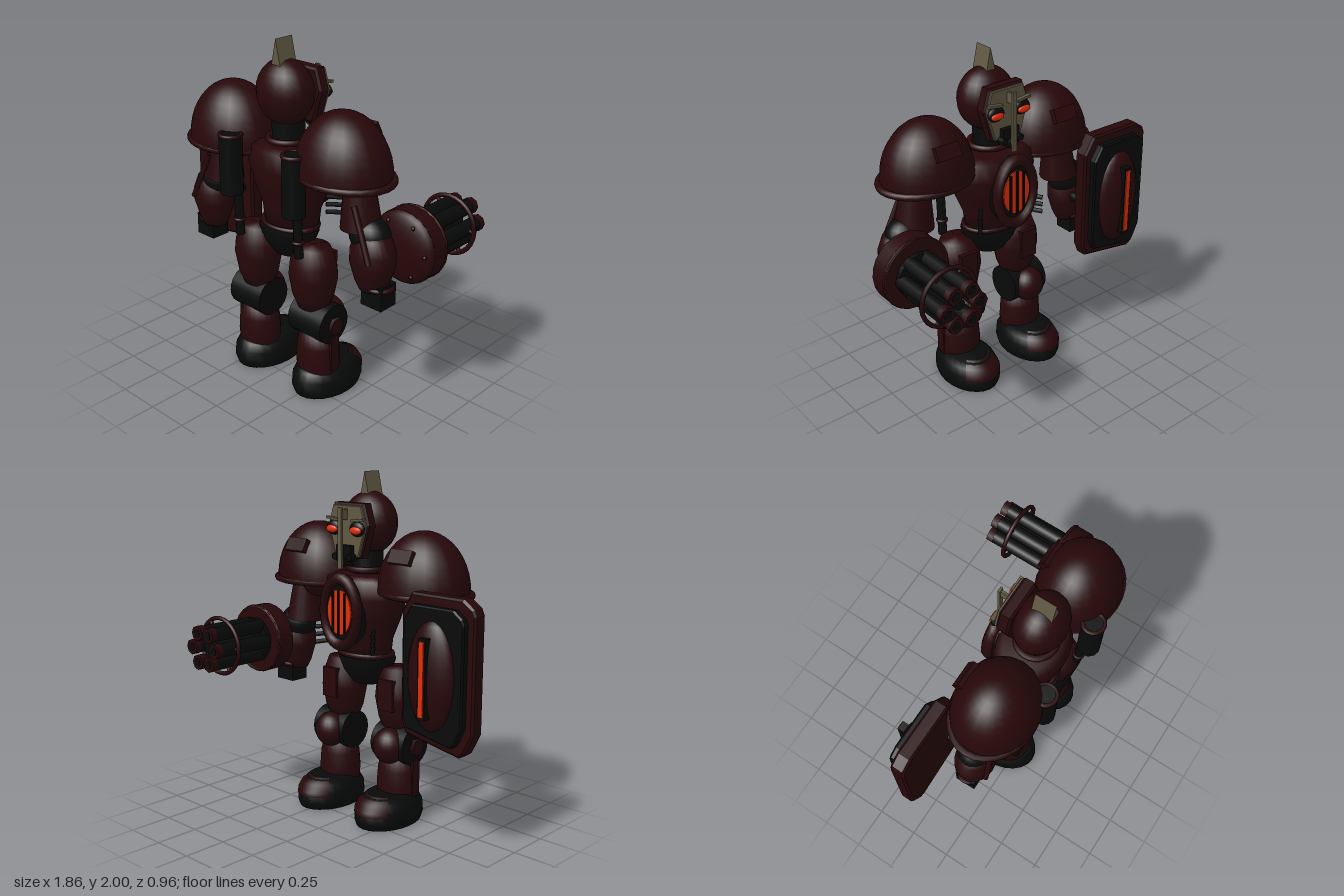
import * as THREE from 'three';

const paint = (name, color) => {
  const m = new THREE.MeshStandardMaterial({ color, side: THREE.DoubleSide });
  m.name = name;
  return m;
};

export function createModel() {
  const red = paint('dark red armour', 0x270709);
  const black = paint('black metal', 0x080909);
  const bone = paint('bone', 0x605842);
  const glow = paint('orange glow', 0xdc2e08);
  const root = new THREE.Group();
  root.name = 'armouredRobot';
  root.position.x = 0.04;

  const add = (name, geo, mat, pos, scale = [1, 1, 1], rot = [0, 0, 0]) => {
    const m = new THREE.Mesh(geo, mat);
    m.name = name;
    m.position.set(...pos);
    m.scale.set(...scale);
    m.rotation.set(...rot);
    root.add(m);
    return m;
  };
  const box = (name, size, mat, pos, rot) =>
    add(name, new THREE.BoxGeometry(...size), mat, pos, undefined, rot);
  const ball = (name, radii, mat, pos) =>
    add(name, new THREE.SphereGeometry(1, 20, 14), mat, pos, radii);
  const cyl = (name, r, len, mat, pos, rot, r2 = r, sides = 20) =>
    add(name, new THREE.CylinderGeometry(r2, r, len, sides), mat, pos, undefined, rot);
  const lathe = (name, pts, mat, [x, z], sx = 1, sz = 1, from = 0, arc = Math.PI * 2) =>
    add(name, new THREE.LatheGeometry(pts.map(p => new THREE.Vector2(...p)), 24, from, arc), mat, [x, 0, z], [sx, 1, sz]);
  const ring = (name, R, t, mat, pos, scale, rot) =>
    add(name, new THREE.TorusGeometry(R, t, 8, 28), mat, pos, scale, rot);
  const rod = (name, a, b, r, mat) =>
    add(name, new THREE.TubeGeometry(new THREE.LineCurve3(new THREE.Vector3(...a), new THREE.Vector3(...b)), 1, r, 10), mat, [0, 0, 0]);
  const plate = (name, pts, depth, bevel, mat, pos, scale) =>
    add(name, new THREE.ExtrudeGeometry(new THREE.Shape(pts.map(p => new THREE.Vector2(...p))), {
      depth, bevelEnabled: bevel > 0, bevelSize: bevel, bevelThickness: bevel, bevelOffset: -bevel, bevelSegments: 1,
    }), mat, pos, scale);
  const flat = [Math.PI / 2, 0, 0];

  // Torso, waist and neck
  lathe('torso', [[0, 0.94], [0.17, 0.94], [0.185, 1.06], [0.235, 1.18], [0.27, 1.3], [0.25, 1.4], [0.2, 1.425], [0, 1.43]], red, [0, 0.18], 1, 0.72);
  lathe('pelvis', [[0, 0.78], [0.09, 0.78], [0.15, 0.85], [0.185, 0.93], [0.17, 0.96], [0, 0.96]], black, [0, 0.2], 1, 0.8);
  ring('waistBelt', 0.17, 0.016, red, [0, 0.96, 0.19], [1, 0.78, 1], flat);
  cyl('neck', 0.09, 0.16, black, [0, 1.48, 0.2]);
  ring('collar', 0.11, 0.018, red, [0, 1.452, 0.2], undefined, flat);

  // Oval chest reactor with grille bars
  cyl('reactorHousing', 0.2, 0.09, black, [-0.005, 1.225, 0.01], flat).scale.x = 0.66;
  ring('reactorRing', 0.19, 0.036, red, [-0.005, 1.225, -0.03], [0.66, 1, 1]);
  cyl('reactorGlow', 0.13, 0.008, glow, [-0.005, 1.225, -0.04], flat).scale.x = 0.7;
  for (const x of [-0.045, 0, 0.045])
    box('reactorBar', [0.013, 2 * Math.sqrt(0.13 ** 2 - (x / 0.7) ** 2), 0.012], black, [x - 0.005, 1.225, -0.046]);

  // Head, crest and mask
  ball('helmet', [0.172, 0.18, 0.14], red, [0, 1.71, 0.22]);
  plate('crest', [[-0.034, 0], [0.034, 0], [0, 0.15]], 0.12, 0, bone, [0, 1.85, 0.17]);
  const maskShape = [[-0.11, 0.165], [0.11, 0.165], [0.145, 0.05], [0.09, -0.13], [-0.09, -0.13], [-0.145, 0.05]];
  plate('helmetFrame', maskShape, 0.05, 0.012, red, [0, 1.66, 0.05], [1.04, 1.04, 1]);
  plate('mask', maskShape, 0.02, 0.005, bone, [0, 1.66, 0.03], [0.97, 0.97, 1]);
  box('noseBlade', [0.03, 0.34, 0.014], bone, [0, 1.64, -0.027]);
  box('noseBridge', [0.014, 0.06, 0.05], bone, [0, 1.77, 0]);
  box('mouthGrille', [0.11, 0.09, 0.035], black, [0, 1.555, 0.012]);
  cyl('mouthFilter', 0.03, 0.06, black, [0, 1.51, 0.01], flat);
  for (const s of [1, -1]) {
    ball('eyeSocket', [0.054, 0.042, 0.024], black, [s * 0.088, 1.693, 0.018]);
    ball('eye', [0.042, 0.022, 0.016], glow, [s * 0.09, 1.686, 0]);
    box('brow', [0.09, 0.014, 0.024], bone, [s * 0.095, 1.742, 0.014], [0, 0, s * 0.12]);
    cyl('mouthPipe', 0.02, 0.06, black, [s * 0.055, 1.535, 0.012], flat);
  }

  for (const s of [1, -1]) {
    // Chest vents and exhausts on the back
    for (let i = 0; i < 3; i++)
      rod('chestVent', [s * 0.16, 1.115 - i * 0.045, 0.075], [s * 0.225, 1.105 - i * 0.045, -0.005], 0.013, black);
    cyl('exhaust', 0.066, 0.34, black, [s * 0.235, 1.3, 0.405], undefined, undefined, 12);
    ring('exhaustRim', 0.058, 0.012, red, [s * 0.235, 1.462, 0.405], undefined, flat);
    rod('exhaustPipe', [s * 0.225, 1.16, 0.37], [s * 0.225, 0.87, 0.36], 0.026, black);
    ring('exhaustClamp', 0.026, 0.01, red, [s * 0.225, 0.96, 0.363], undefined, flat);

    // Shoulder
    add('pauldron', new THREE.SphereGeometry(1, 20, 10, 0, Math.PI * 2, 0, Math.PI / 2), red, [s * 0.405, 1.36, 0.215], [0.272, 0.335, 0.235]);
    cyl('pauldronBase', 1, 0.02, red, [s * 0.405, 1.355, 0.215]).scale.set(0.272, 1, 0.23);
    ring('pauldronRim', 0.27, 0.02, red, [s * 0.42, 1.352, 0.215], [1, 0.82, 1], flat);
    box('pauldronPlate', [0.15, 0.08, 0.05], red, [s * 0.4, 1.56, 0.034], [0.5, 0, 0]);
    ball('shoulderJoint', [0.1, 0.1, 0.1], red, [s * 0.415, 1.34, 0.21]);

    // Arm
    cyl('upperArm', 0.112, 0.24, red, [s * 0.51, 1.21, 0.2], [0, 0, s * 0.08], 0.082);
    ball('elbow', [0.118, 0.105, 0.1], black, [s * 0.58, 1.06, 0.2]);
    lathe('forearm', [[0, 0.77], [0.075, 0.77], [0.1, 0.82], [0.13, 0.92], [0.13, 0.99], [0.1, 1.07], [0.05, 1.1], [0, 1.1]], red, [s * 0.61, 0.21], 1, 0.85);
    rod('forearmPiston', [s * 0.545, 1.24, 0.29], [s * 0.67, 0.955, 0.315], 0.016, red);
    box('hand', [0.135, 0.13, 0.12], black, [s * 0.645, 0.75, 0.2]);
    ring('wristCuff', 0.08, 0.014, red, [s * 0.64, 0.79, 0.2], [1, 0.85, 1], flat);

    // Leg
    const lx = s * 0.235;
    lathe('thigh', [[0, 0.53], [0.09, 0.53], [0.12, 0.6], [0.143, 0.72], [0.135, 0.8], [0.1, 0.895], [0, 0.9]], red, [s * 0.215, 0.235], 1, 0.9);
    box('thighPlate', [0.11, 0.18, 0.03], red, [s * 0.22, 0.75, 0.122]);
    cyl('knee', 0.115, 0.24, black, [lx, 0.452, 0.22], [0, 0, Math.PI / 2]);
    ball('kneeCap', [0.1, 0.105, 0.095], red, [lx, 0.45, 0.135]);
    cyl('kneeBolt', 0.052, 0.022, red, [s * 0.372, 0.45, 0.22], [0, 0, Math.PI / 2], 0.052, 6);
    cyl('kneeAxle', 0.02, 0.04, black, [s * 0.35, 0.45, 0.22], [0, 0, Math.PI / 2]);
    lathe('shin', [[0.125, 0.12], [0.132, 0.2], [0.125, 0.3], [0.105, 0.39], [0, 0.41]], red, [lx, 0.215], 1, 0.88);
    box('shinStrip', [0.025, 0.2, 0.06], red, [s * 0.355, 0.27, 0.22]);
    lathe('foot', [[0, 0], [0.94, 0], [1, 0.04], [0.98, 0.1], [0.86, 0.145], [0.7, 0.172], [0, 0.175]], black, [lx, 0.137], 0.168, 0.238);
    lathe('toeCap', [[1.0, 0.08], [0.99, 0.106], [0.87, 0.15], [0.6, 0.18]], red, [lx, 0.137], 0.168, 0.238, Math.PI - 0.85, 1.7);
  }

  // Rotary gun on the left arm
  const gx = 0.682, gy = 0.975;
  cyl('gunHousing', 0.205, 0.11, red, [gx, gy, -0.005], flat);
  add('gunHousingDome', new THREE.SphereGeometry(1, 24, 8, 0, Math.PI * 2, 0, Math.PI / 2), red, [gx, gy, 0.045], [0.205, 0.06, 0.205], flat);
  ring('gunHousingRim', 0.195, 0.013, red, [gx, gy, -0.05]);
  cyl('gunCore', 0.13, 0.04, black, [gx, gy, -0.07], flat);
  cyl('gunSpindle', 0.03, 0.37, black, [gx, gy, -0.255], flat);
  ring('barrelBand', 0.167, 0.013, red, [gx, gy, -0.345]);
  for (let i = 0; i < 6; i++) {
    const a = i * Math.PI / 3, c = Math.cos(a), n = Math.sin(a);
    const x = gx + 0.1 * c, y = gy + 0.1 * n;
    cyl('barrel', 0.042, 0.37, black, [x, y, -0.255], flat, 0.042, 12);
    cyl('muzzle', 0.046, 0.04, red, [x, y, -0.458], flat, 0.046, 8);
    cyl('bore', 0.026, 0.006, black, [x, y, -0.479], flat, 0.026, 8);
    rod('bandStrut', [x, y, -0.345], [gx + 0.165 * c, gy + 0.165 * n, -0.345], 0.012, red);
    ball('rivet', [0.012, 0.012, 0.012], red, [gx + 0.16 * c, gy + 0.16 * n, 0.08]);
  }

  // Shield on the right arm
  const sx = -0.725, sy = 0.99;
  const outline = [[-0.245, 0.34], [-0.23, 0.375], [-0.165, 0.42], [0.17, 0.42], [0.235, 0.32], [0.235, -0.28], [0.205, -0.355], [-0.155, -0.415], [-0.19, -0.39], [-0.245, -0.28]];
  plate('shieldPlate', outline, 0.062, 0.012, red, [sx, sy, -0.058]);
  plate('shieldInset', outline, 0.045, 0.01, black, [sx, sy, -0.1], [0.82, 0.87, 1]);
  ball('shieldDome', [0.155, 0.3, 0.08], red, [sx, sy, -0.095]);
  box('slitFrame', [0.05, 0.43, 0.05], black, [sx, sy, -0.163]);
  box('shieldSlit', [0.032, 0.4, 0.008], glow, [sx, sy, -0.19]);
  cyl('shieldMount', 0.03, 0.2, black, [sx + 0.15, 0.95, 0.1], flat);

  return root;
}
